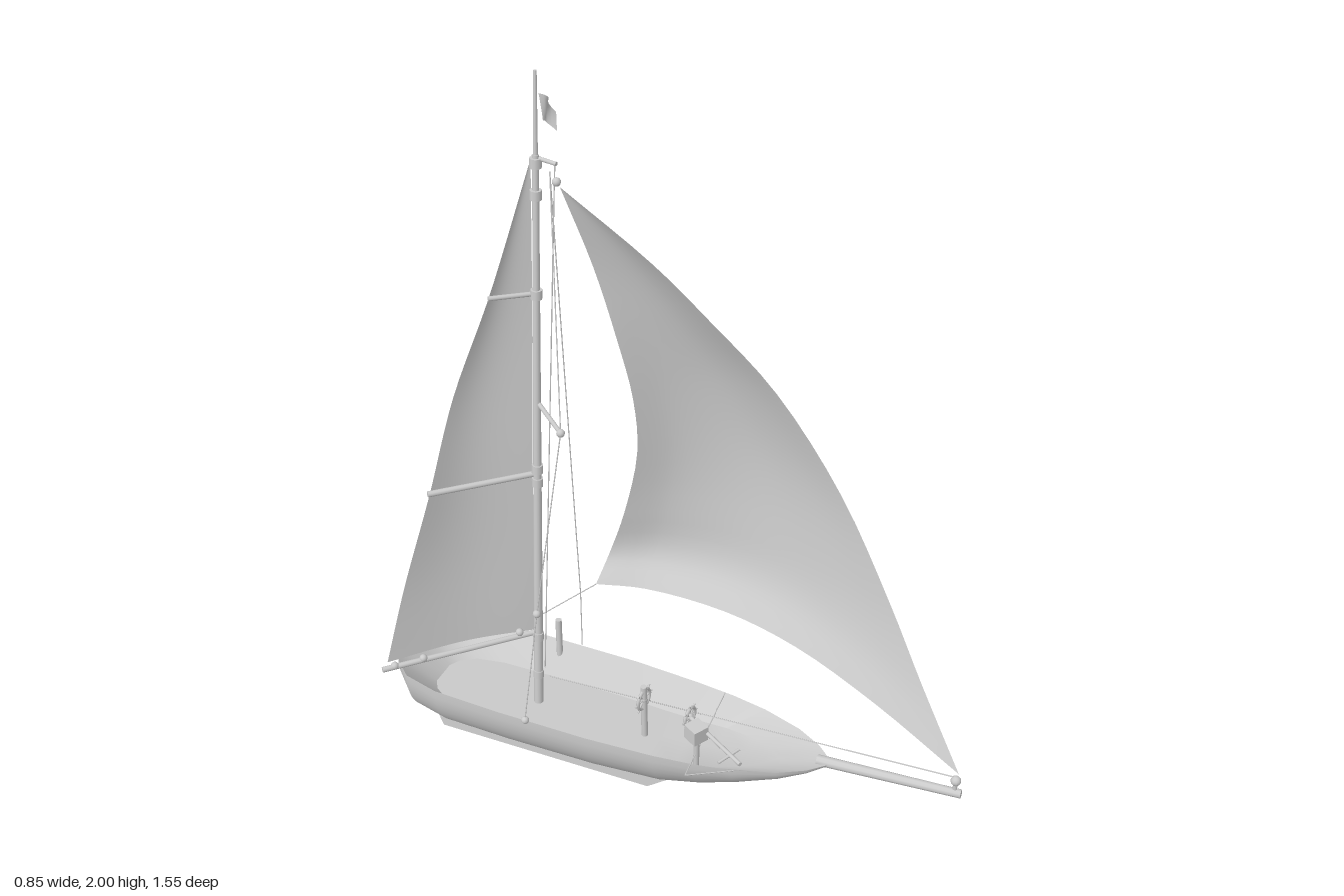
import * as THREE from 'three';
import { toCreasedNormals } from 'three/addons/utils/BufferGeometryUtils.js';

const V = (p) => new THREE.Vector3(...p);
const mat = new THREE.MeshStandardMaterial({ color: 0xcccccc });
const thin = new THREE.MeshStandardMaterial({ color: 0xcccccc, side: THREE.DoubleSide });

function add(parent, name, geo, material = mat) {
  const m = new THREE.Mesh(geo, material);
  m.name = name;
  parent.add(m);
  return m;
}

// Grid surface from a function of row and column
function grid(rows, cols, fn) {
  const pos = [], idx = [];
  for (let i = 0; i <= rows; i++) for (let j = 0; j <= cols; j++) pos.push(...fn(i, j));
  for (let i = 0; i < rows; i++) for (let j = 0; j < cols; j++) {
    const a = i * (cols + 1) + j, b = a + cols + 1;
    idx.push(a, b, a + 1, b, b + 1, a + 1);
  }
  const g = new THREE.BufferGeometry();
  g.setAttribute('position', new THREE.Float32BufferAttribute(pos, 3));
  g.setIndex(idx);
  g.computeVertexNormals();
  return g;
}

// Round bar between two points
function bar(parent, name, a, b, r0, r1 = r0, sides = 10) {
  const A = V(a), B = V(b), d = B.clone().sub(A);
  const m = add(parent, name, new THREE.CylinderGeometry(r1, r0, d.length(), sides));
  m.position.copy(A).addScaledVector(d, 0.5);
  m.quaternion.setFromUnitVectors(new THREE.Vector3(0, 1, 0), d.normalize());
}

function rope(parent, name, pts) {
  for (let i = 0; i + 1 < pts.length; i++) bar(parent, name, pts[i], pts[i + 1], 0.0016, 0.0016, 5);
}

function ball(parent, name, p, r) {
  add(parent, name, new THREE.SphereGeometry(r, 10, 8)).position.set(...p);
}

// Sail spread between its free edge and its fixed edge, with a shaped foot
function sail(parent, name, leech, luff, foot, belly) {
  const L = new THREE.CatmullRomCurve3(leech.map(V)), F = new THREE.CatmullRomCurve3(luff.map(V));
  const B = new THREE.CatmullRomCurve3(foot.map(V)), n = 28, k = 20;
  const clew = L.getPoint(1), tack = F.getPoint(1), out = V(belly);
  add(parent, name, grid(n, k, (i, j) => {
    const v = i / n, u = j / k;
    const p = L.getPoint(v).lerp(F.getPoint(v), u);
    const sag = B.getPoint(u).sub(clew.clone().lerp(tack, u));
    p.addScaledVector(sag, v * v);
    p.addScaledVector(out, Math.sin(Math.PI * u) * Math.sin(Math.PI * v));
    return p.toArray();
  }), thin);
}

function buildHull(boat) {
  // Stations: z, half width, bottom, rim, sharpness of the section
  const st = [
    [-0.772, 0, 0.2, 0.265, 1], [-0.772, 0.06, 0.2, 0.265, 1], [-0.752, 0.105, 0.15, 0.265, 1],
    [-0.7, 0.153, 0.08, 0.262, 1.05], [-0.6, 0.177, 0.062, 0.258, 1.1], [-0.4, 0.181, 0.06, 0.254, 1.1],
    [-0.15, 0.18, 0.06, 0.252, 1.15], [0.04, 0.168, 0.065, 0.25, 1.25], [0.15, 0.155, 0.095, 0.25, 1.3],
    [0.25, 0.135, 0.135, 0.25, 1.3], [0.36, 0.097, 0.185, 0.25, 1.2], [0.43, 0.055, 0.22, 0.25, 1],
    [0.472, 0.014, 0.24, 0.25, 1], [0.472, 0, 0.24, 0.25, 1],
  ];
  // The section runs from the sunken deck over the rim, round the bottom and back
  const n = 24;
  const hull = grid(st.length - 1, n + 4, (i, j) => {
    const [z, w, yb, yr, p] = st[i];
    const zi = -0.67 + (z + 0.772) * 0.81, deck = 0.17 + Math.max(0, z - 0.1) * 0.13;
    if (j === 0 || j === n + 4) return [0, deck, zi];
    if (j === 1) return [w * 0.64, deck, zi];
    if (j === n + 3) return [-w * 0.64, deck, zi];
    const a = Math.PI * (0.5 - (j - 2) / n), s = Math.sin(a);
    return [w * Math.sign(s) * Math.abs(s) ** p, yr - (yr - yb) * Math.cos(a), z];
  });
  add(boat, 'hull', toCreasedNormals(hull, 0.72));

  // Keel fin
  const s = new THREE.Shape([[-0.7, 0.1], [-0.685, 0.055], [-0.68, 0.05], [-0.66, 0.003],
    [-0.025, 0.003], [0.1, 0.1]].map((p) => new THREE.Vector2(...p)));
  const keel = new THREE.ExtrudeGeometry(s, { depth: 0.056, bevelEnabled: false });
  keel.translate(0, 0, -0.028).rotateY(-Math.PI / 2);
  add(boat, 'keel', keel);

  // Mast with its collars and top pole
  const z = -0.37;
  bar(boat, 'mast', [0, 0.16, z], [0, 1.8, z], 0.013, 0.008, 14);
  bar(boat, 'mastPole', [0, 1.78, z], [0, 2.003, z], 0.006, 0.004);
  for (const y of [0.27, 0.4, 0.9, 0.94, 1.44, 1.7, 1.78]) {
    bar(boat, 'mastCollar', [0, y - 0.012, z], [0, y + 0.012, z], 0.015);
  }
}

// Steering wheel facing along z
function wheel(parent, p, r) {
  const g = new THREE.Group();
  g.name = 'steeringWheel';
  add(g, 'wheelRim', new THREE.TorusGeometry(r, 0.005, 6, 20));
  for (let i = 0; i < 4; i++) {
    const a = i * Math.PI / 4, x = Math.cos(a) * r * 1.4, y = Math.sin(a) * r * 1.4;
    bar(g, 'wheelSpoke', [-x, -y, 0], [x, y, 0], 0.003, 0.003, 6);
  }
  ball(g, 'wheelHub', [0, 0, 0], 0.011);
  g.position.set(...p);
  g.rotation.y = 0.15;
  parent.add(g);
}

export function createModel() {
  const model = new THREE.Group();
  model.name = 'sailingBoat';

  // Hull, keel and mast share the heading and the heel
  const boat = new THREE.Group();
  boat.name = 'hullAndMast';
  const yaw = THREE.MathUtils.degToRad(17);
  boat.rotation.set(0, yaw, -0.077, 'YXZ');
  boat.position.set(0.04 * Math.cos(yaw), 0, -0.04 * Math.sin(yaw));
  model.add(boat);
  buildHull(boat);

  // Sails
  sail(model, 'headsail',
    [[0.07, 1.73, -0.34], [0.14, 1.5, -0.305], [0.18, 1.29, -0.268], [0.215, 1.1, -0.246], [0.235, 0.92, -0.25],
      [0.233, 0.7, -0.295], [0.215, 0.55, -0.335], [0.15, 0.482, -0.33]],
    [[0.07, 1.73, -0.34], [0.2, 1.53, -0.17], [0.28, 1.38, -0.06], [0.37, 1.18, 0.09], [0.42, 0.92, 0.27],
      [0.405, 0.67, 0.45], [0.365, 0.5, 0.59], [0.305, 0.33, 0.76]],
    [[0.15, 0.482, -0.33], [0.23, 0.472, -0.22], [0.305, 0.46, 0], [0.33, 0.44, 0.22],
      [0.325, 0.395, 0.48], [0.305, 0.33, 0.76]], [0.035, 0, 0]);
  const clew = [-0.4, 0.43, -0.587], tack = [-0.03, 0.41, -0.385];
  sail(model, 'mainsail',
    [[0.06, 1.78, -0.42], [-0.06, 1.45, -0.462], [-0.16, 1.18, -0.512], [-0.245, 0.92, -0.535],
      [-0.33, 0.65, -0.57], clew],
    [[0.06, 1.78, -0.42], [0.04, 1.45, -0.415], [0.02, 1.18, -0.41], [0, 0.92, -0.405], [-0.015, 0.65, -0.395], tack],
    [clew, [-0.2, 0.425, -0.49], tack], [-0.01, 0, -0.02]);

  // Boom, battens, spreader, bowsprit
  bar(model, 'boom', [-0.42, 0.417, -0.587], [-0.03, 0.405, -0.38], 0.008);
  for (const x of [-0.39, -0.32, -0.08]) ball(model, 'boomFitting', [x, 0.42, -0.38 + (x + 0.03) * 0.53], 0.011);
  bar(model, 'gaff', [-0.25, 0.928, -0.535], [0, 0.917, -0.395], 0.008);
  bar(model, 'batten', [-0.065, 1.445, -0.462], [0.04, 1.435, -0.4], 0.006);
  bar(model, 'spreader', [0.017, 1.13, -0.39], [-0.055, 1.14, -0.25], 0.006);
  bar(model, 'mastHeadArm', [0.065, 1.785, -0.42], [0.072, 1.785, -0.35], 0.005);
  bar(model, 'bowsprit', [0.188, 0.245, 0.405], [0.307, 0.265, 0.773], 0.015, 0.012);
  bar(model, 'bowspritPost', [0.303, 0.26, 0.755], [0.303, 0.31, 0.755], 0.006);
  ball(model, 'bowspritBlock', [0.303, 0.305, 0.755], 0.014);

  // Rigging and its blocks
  rope(model, 'rightShroud', [[0.07, 1.76, -0.37], [-0.055, 1.14, -0.25], [-0.16, 0.62, -0.26], [-0.217, 0.27, -0.27]]);
  rope(model, 'leftShroud', [[0.07, 1.76, -0.37], [0.13, 0.44, -0.37], [0.13, 0.25, -0.37]]);
  rope(model, 'halyard', [[0.072, 1.785, -0.355], [0.07, 1.72, -0.358], [-0.03, 0.28, -0.365]]);
  rope(model, 'sheet', [[0.15, 0.482, -0.33], [0.075, 0.28, -0.53]]);
  rope(model, 'foreStay', [[0.303, 0.315, 0.75], [-0.03, 0.255, -0.35]]);
  rope(model, 'deckLine', [[0.235, 0.245, 0.06], [-0.09, 0.26, 0.18], [0, 0.265, 0.27]]);
  for (const p of [[-0.055, 1.14, -0.25], [-0.16, 0.62, -0.26], [-0.215, 0.275, -0.27], [0.075, 0.28, -0.53],
    [0.07, 0.25, -0.555], [0.07, 1.74, -0.35]]) ball(model, 'block', p, 0.011);

  // Deck gear
  wheel(model, [0.03, 0.3, -0.06], 0.03);
  bar(model, 'wheelPost', [0.028, 0.16, -0.055], [0.03, 0.345, -0.06], 0.009);
  bar(model, 'deckPost', [0.095, 0.16, -0.425], [0.1, 0.33, -0.43], 0.009);
  bar(model, 'winchShaft', [-0.027, 0.335, 0.31], [0.03, 0.335, 0.09], 0.006);
  bar(model, 'winchCrossbar', [-0.055, 0.33, 0.26], [0.015, 0.335, 0.275], 0.004);
  bar(model, 'winchPost', [-0.005, 0.16, 0.15], [-0.005, 0.32, 0.15], 0.008);
  const box = add(model, 'winchBody', new THREE.BoxGeometry(0.045, 0.045, 0.045));
  box.position.set(-0.007, 0.335, 0.15);
  box.rotation.y = -0.25;
  wheel(model, [0.028, 0.335, 0.1], 0.026);

  // Drooping pennant with a soft wave
  add(model, 'pennant', grid(6, 8, (i, j) => {
    const u = j / 8, v = i / 6;
    return [0.075 + 0.06 * u - 0.012 * u * v, 1.945 - 0.065 * v * (1 - 0.4 * u) - 0.07 * u ** 1.5,
      -0.4 + 0.012 * Math.sin(u * 6 + v)];
  }), thin);

  return model;
}
